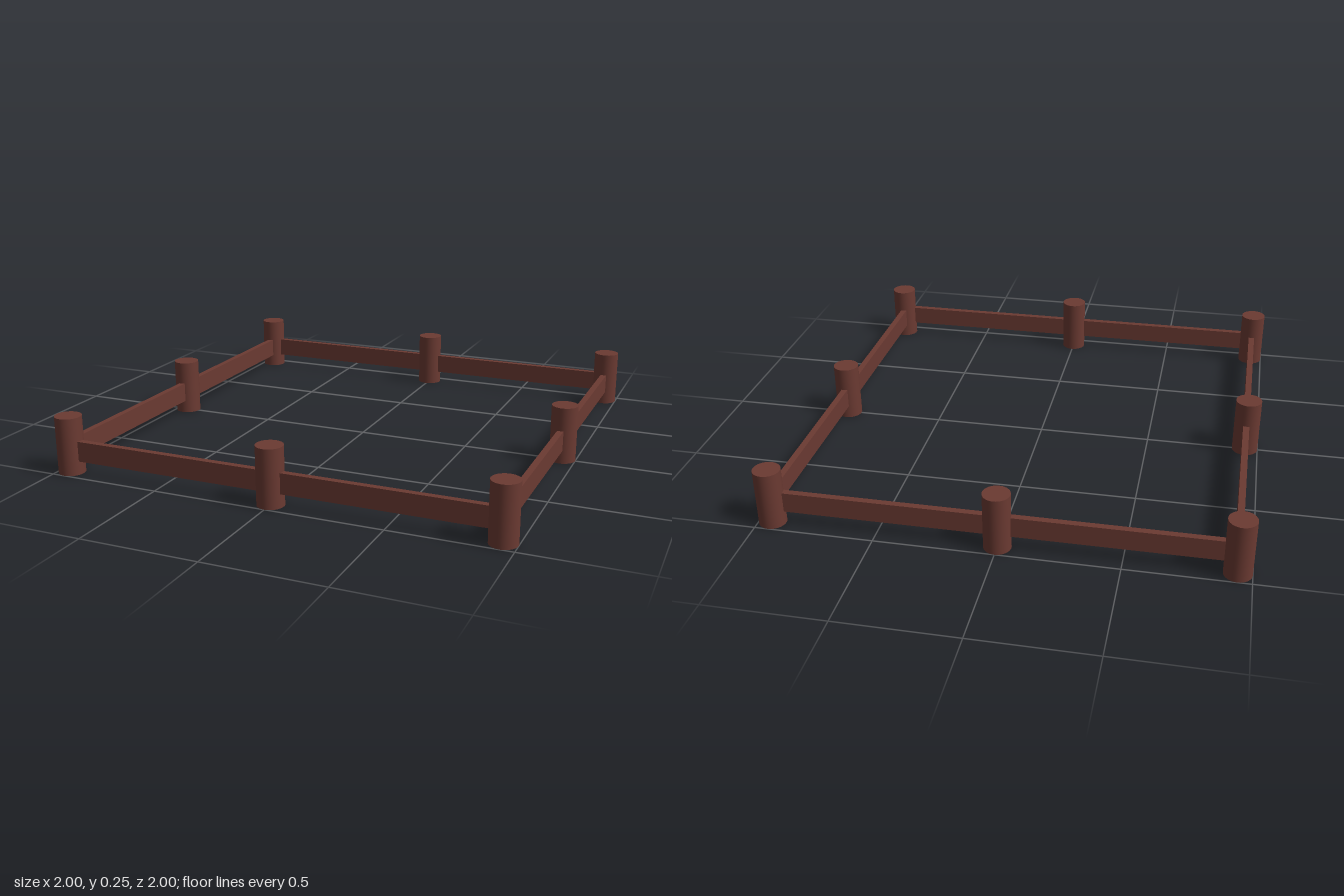
import * as THREE from 'three';

export function createModel() {
  const group = new THREE.Group();
  group.name = 'fence';
  const wood = new THREE.MeshStandardMaterial({ color: 0x6b3a32 });
  const R = 0.057, H = 0.25, P = 1 - R;

  // Round posts at the corners and the middle of each side
  const postGeo = new THREE.CylinderGeometry(R, R, H, 32);
  for (const x of [-P, 0, P]) {
    for (const z of [-P, 0, P]) {
      if (x === 0 && z === 0) continue;
      const post = new THREE.Mesh(postGeo, wood);
      post.name = 'post';
      post.position.set(x, H / 2, z);
      group.add(post);
    }
  }

  // Flat rails, one plank along each side
  const railGeo = new THREE.BoxGeometry(2 * P, 0.088, 0.028);
  const addRail = (name, x, z, turn) => {
    const rail = new THREE.Mesh(railGeo, wood);
    rail.name = name;
    rail.position.set(x, 0.103, z);
    rail.rotation.y = turn;
    group.add(rail);
  };
  addRail('frontRail', 0, 0.95, 0);
  addRail('backRail', 0, -0.937, 0);
  // Side rails lean very slightly off the square
  addRail('leftRail', 0.94, 0, Math.PI / 2 - 0.004);
  addRail('rightRail', -0.94, 0, Math.PI / 2 - 0.003);

  return group;
}
